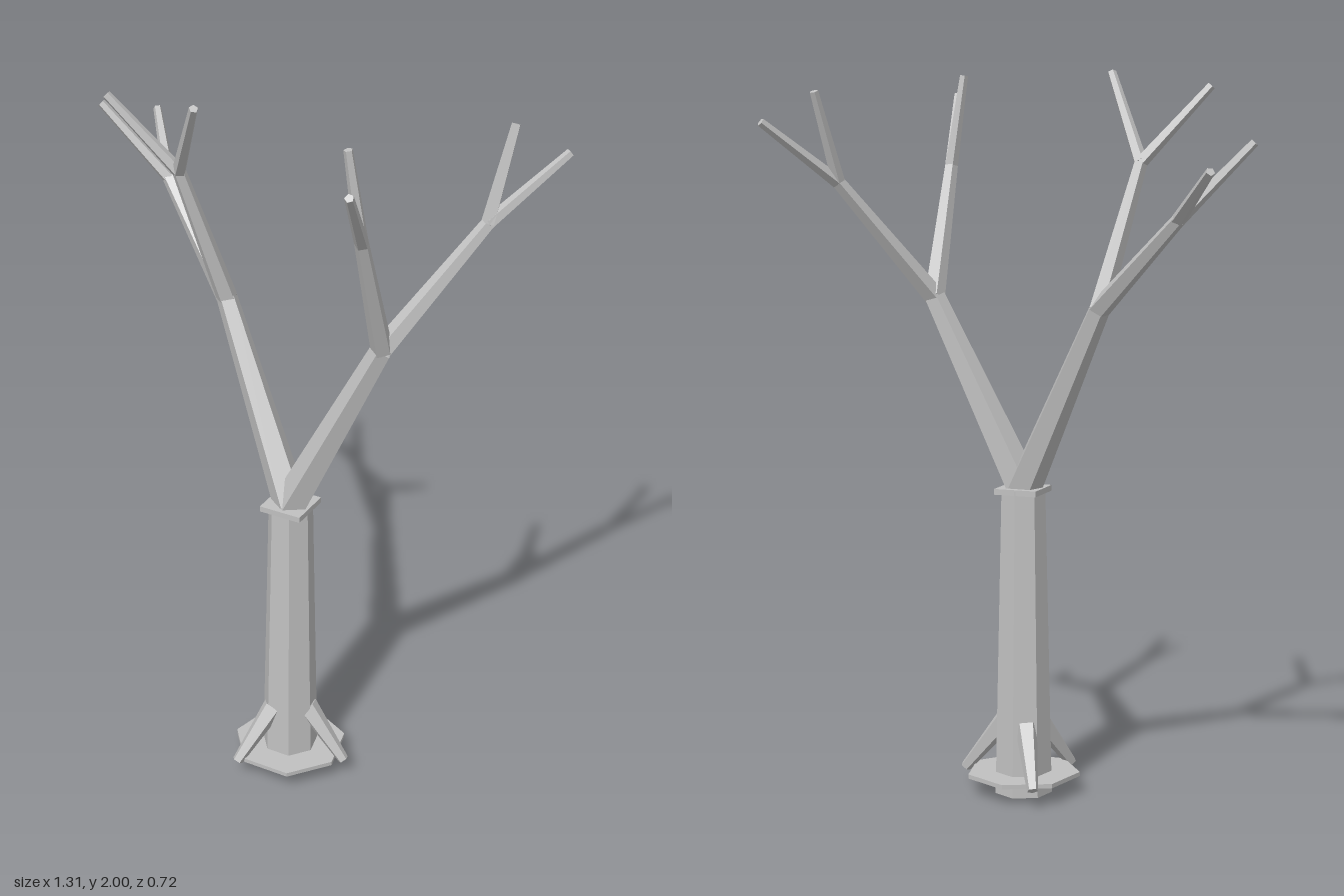
import * as THREE from 'three';

export function createModel() {
  const tree = new THREE.Group();
  tree.name = 'bareTree';
  const bark = new THREE.MeshStandardMaterial({ color: 0xc0c0c0, flatShading: true });
  bark.name = 'greyBark';
  const CX = 0.06, CZ = 0.055; // trunk axis

  const add = (name, geometry, x, y, z) => {
    const mesh = new THREE.Mesh(geometry, bark);
    mesh.name = name;
    mesh.position.set(x, y, z);
    tree.add(mesh);
    return mesh;
  };

  // Tapered limb between two points
  const limb = (name, from, to, r0, r1, sides = 5) => {
    const a = new THREE.Vector3(...from), b = new THREE.Vector3(...to);
    const dir = b.clone().sub(a);
    const mid = a.clone().add(b).multiplyScalar(0.5);
    const mesh = add(name, new THREE.CylinderGeometry(r1, r0, dir.length(), sides), mid.x, mid.y, mid.z);
    mesh.quaternion.setFromUnitVectors(new THREE.Vector3(0, 1, 0), dir.normalize());
  };

  // Seven-sided trunk and the thin plate round its foot
  add('trunk', new THREE.CylinderGeometry(0.062, 0.081, 0.86, 7), CX, 0.43, CZ).rotation.y = Math.PI;
  add('basePlate', new THREE.CylinderGeometry(0.16, 0.16, 0.012, 7), CX, 0.055, CZ).rotation.y = Math.PI;

  // Square collar under the fork
  add('collar', new THREE.BoxGeometry(0.122, 0.016, 0.122), CX, 0.857, CZ);

  // Three buttress roots
  for (let i = 0; i < 3; i++) {
    const c = Math.cos(i * Math.PI * 2 / 3), s = Math.sin(i * Math.PI * 2 / 3);
    limb('root', [CX + 0.055 * c, 0.2, CZ + 0.055 * s], [CX + 0.175 * c, 0.052, CZ + 0.175 * s], 0.032, 0.016);
  }

  // Two main branches, each forking into two boughs that end in two twigs
  const fork = [CX, 0.86, CZ];
  const branches = [
    {
      end: [-0.2, 1.37, -0.06],
      boughs: [
        { end: [-0.46, 1.615, -0.195], twigs: [[-0.645, 1.81, -0.155], [-0.59, 1.74, -0.35]] },
        { end: [-0.28, 1.755, 0.04], twigs: [[-0.452, 1.955, 0.105], [-0.155, 1.993, 0.165]] },
      ],
    },
    {
      end: [0.315, 1.385, 0.035],
      boughs: [
        { end: [0.505, 1.7, -0.165], twigs: [[0.647, 1.86, -0.333], [0.528, 1.94, -0.257]] },
        { end: [0.325, 1.74, 0.18], twigs: [[0.295, 1.988, 0.202], [0.376, 1.937, 0.35]] },
      ],
    },
  ];
  for (const branch of branches) {
    limb('mainBranch', fork, branch.end, 0.05, 0.03);
    for (const bough of branch.boughs) {
      limb('bough', branch.end, bough.end, 0.03, 0.019);
      for (const tip of bough.twigs) limb('twig', bough.end, tip, 0.019, 0.012);
    }
  }
  return tree;
}
